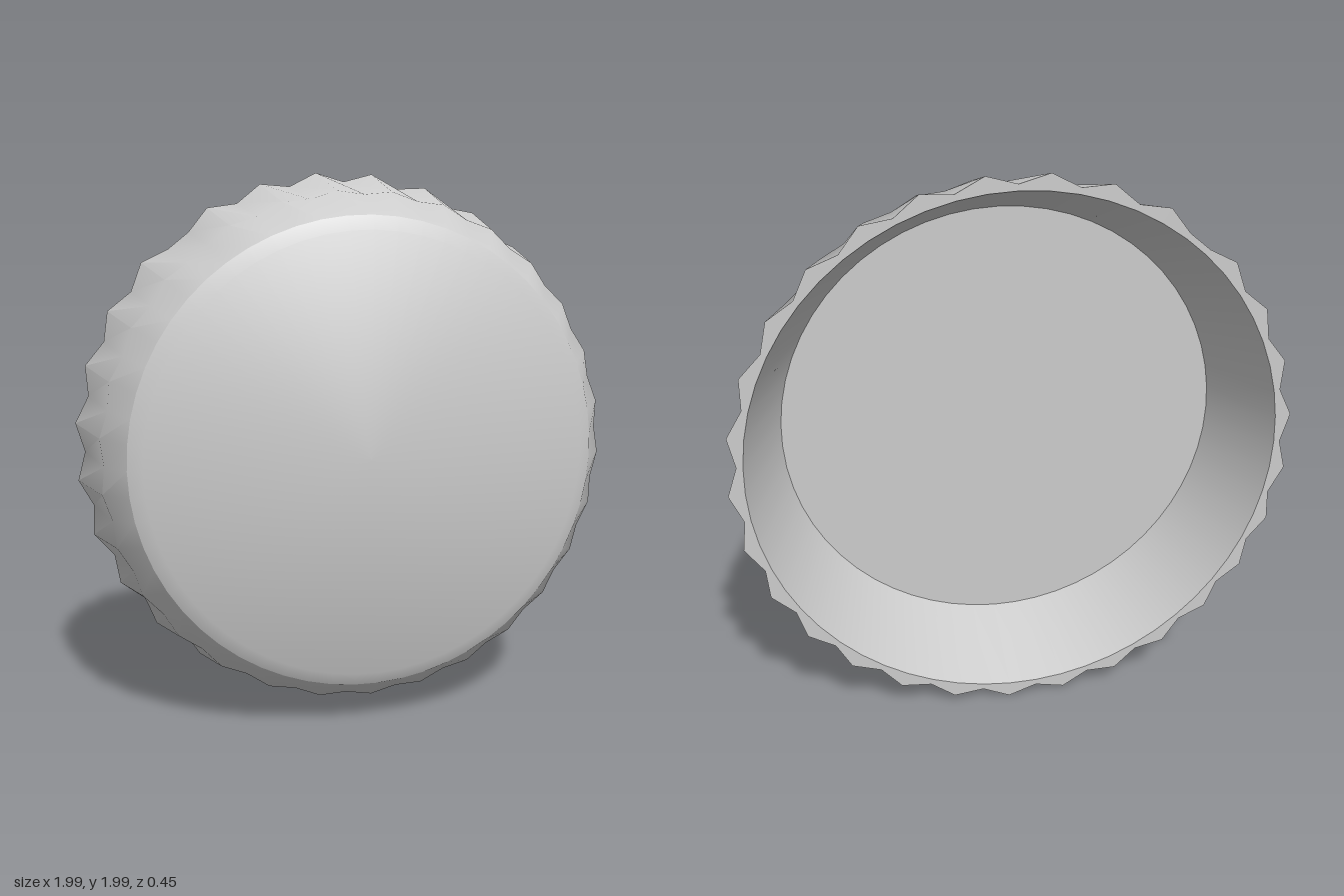
import * as THREE from 'three';
import { toCreasedNormals } from 'three/addons/utils/BufferGeometryUtils.js';

const TEETH = 29, STEP = 12.22, START = 137.8; // degrees; one wider gap is left over
const BACK = -0.226;

// Corner angles around the cap: valley, tip, valley, tip ... and a last valley
const ANGLES = [];
for (let k = 0; k <= 2 * TEETH; k++) {
  ANGLES.push(THREE.MathUtils.degToRad(START + (k - 1) * STEP / 2));
}

// Skin through rings; each row is [tip radius, valley radius, z]
function ringShell(name, rows, material) {
  const n = ANGLES.length, pos = [], index = [];
  for (const [tip, valley, z] of rows) {
    ANGLES.forEach((a, i) => {
      const r = i % 2 ? tip : valley;
      pos.push(Math.cos(a) * r, Math.sin(a) * r, z);
    });
  }
  for (let j = 0; j < rows.length - 1; j++) {
    for (let i = 0; i < n; i++) {
      const a = j * n + i, b = j * n + (i + 1) % n, c = b + n, d = a + n;
      // A ring of radius 0 closes as a fan
      if (rows[j][0] > 0) index.push(a, b, d);
      if (rows[j + 1][0] > 0) index.push(b, c, d);
    }
  }
  const geometry = new THREE.BufferGeometry();
  geometry.setAttribute('position', new THREE.Float32BufferAttribute(pos, 3));
  geometry.setIndex(index);
  const mesh = new THREE.Mesh(toCreasedNormals(geometry, 0.6), material);
  mesh.name = name;
  return mesh;
}

export function createModel() {
  const group = new THREE.Group();
  group.name = 'crimpedCap';
  const material = new THREE.MeshStandardMaterial({ color: 0xcccccc });

  // Flat rim, then the crimped skirt whose teeth fade out over the shoulder
  group.add(ringShell('crimpedSkirt', [
    [0.943, 0.943, BACK],
    [1.0, 0.965, BACK],
    [0.922, 0.906, 0.09],
    [0.835, 0.835, 0.2],
  ], material));

  // Bevelled round face
  group.add(ringShell('frontFace', [
    [0.835, 0.835, 0.2],
    [0.785, 0.785, 0.228],
    [0, 0, 0.228],
  ], material));

  // Inside: flat floor and tapering wall
  group.add(ringShell('innerCup', [
    [0, 0, 0.13],
    [0.815, 0.815, 0.13],
    [0.943, 0.943, BACK],
  ], material));

  group.position.y = 1;
  return group;
}
